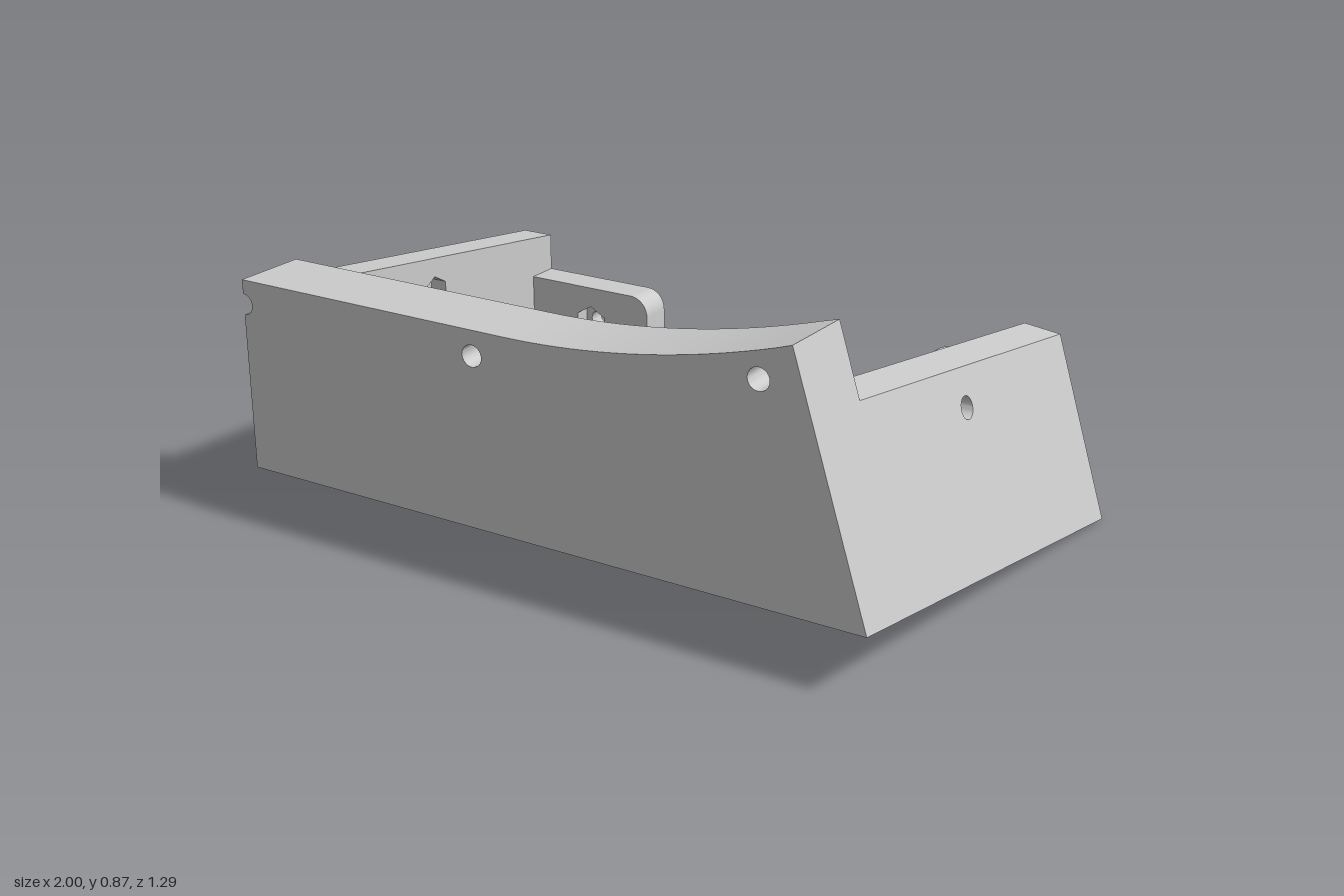
import * as THREE from 'three';
import { toCreasedNormals } from 'three/addons/utils/BufferGeometryUtils.js';

const FRONT = 0.645, BACK = -0.645, INNER = 0.43;
// sloping underside, sloping tray floor and leaning right-hand outer face
const baseY = z => 0.1395 * (z - BACK);
const floorY = z => 0.22 + 0.1395 * (z - BACK);
const sideX = (y, z) => 1 - 0.31 * y - 0.0344 * (z - BACK);

const material = new THREE.MeshStandardMaterial({ color: 0xcccccc });

// points on an arc, as [x, y]
function arc(cx, cy, r, a0, a1, n) {
  return Array.from({ length: n + 1 }, (_, i) => {
    const a = a0 + (a1 - a0) * i / n;
    return [cx + r * Math.cos(a), cy + r * Math.sin(a)];
  });
}

// extrude an outline with holes [x, y, radius, sides] and bend it with map(u, v, t)
function slab(name, outline, holes, map) {
  const shape = new THREE.Shape(outline.map(p => new THREE.Vector2(...p)));
  for (const [x, y, r, n] of holes) {
    const ring = arc(x, y, r, Math.PI / 6, Math.PI / 6 + Math.PI * 2, n).slice(0, n);
    shape.holes.push(new THREE.Path(ring.map(p => new THREE.Vector2(...p))));
  }
  const geo = new THREE.ExtrudeGeometry(shape, { depth: 1, bevelEnabled: false });
  const pos = geo.attributes.position;
  for (let i = 0; i < pos.count; i++) {
    pos.setXYZ(i, ...map(pos.getX(i), pos.getY(i), pos.getZ(i)));
  }
  const mesh = new THREE.Mesh(toCreasedNormals(geo, 0.5), material);
  mesh.name = name;
  return mesh;
}

// two layers: a round bore in one, a wider nut or head pocket in the other
function layered(name, build) {
  const group = new THREE.Group();
  group.name = name;
  group.add(build(0), build(1));
  return group;
}

const BORE = 0.03, POCKET = 0.057;
const hole = (x, y, pocket, sides = 6) => pocket ? [x, y, POCKET, sides] : [x, y, BORE, 24];

export function createModel() {
  const model = new THREE.Group();

  // front wall with curved top; nut pockets open to the inside
  model.add(layered('frontWall', layer => {
    const pocket = layer === 0;
    const z0 = pocket ? INNER : 0.54, z1 = pocket ? 0.54 : FRONT;
    const top = Array.from({ length: 21 }, (_, i) => {
      const s = 1 - i / 20;
      return [-0.13 + 0.82 * s, 0.73 + 0.135 * s * s];
    });
    const r = pocket ? POCKET : BORE;
    const halfHole = arc(-1, 0.66, r, Math.PI / 2, -Math.PI / 2, pocket ? 3 : 12);
    const outline = [[-1, 0], [0.9, 0], ...top, [-1, 0.73], ...halfHole];
    const holes = [hole(-0.23, 0.66, pocket), hole(0.6, 0.765, pocket)];
    return slab('frontWallLayer', outline, holes, (u, v, t) => {
      const z = z0 + t * (z1 - z0);
      const y = v < 0.1 ? baseY(z) : v;
      return [u > 0.68 ? sideX(y, z) : u, y, z];
    });
  }));

  // upright left wall, with a nut slot at the front outer corner
  model.add(layered('leftWall', layer => {
    const x0 = layer ? -0.955 : -1, x1 = layer ? -0.9 : -0.955;
    const rim = layer ? [[-INNER, 0.685]] : [[-0.375, 0.677], [-0.375, 0.6], [-INNER, 0.6]];
    const outline = [[-INNER, baseY(INNER)], [-BACK, 0], [-BACK, 0.538], ...rim];
    return slab('leftWallLayer', outline, [hole(0.05, 0.505, layer === 1)],
      (u, v, t) => [x0 + t * (x1 - x0), v, -u]);
  }));
  const lid = new THREE.Mesh(new THREE.BoxGeometry(0.045, 0.018, 0.055), material);
  lid.position.set(-0.9775, 0.676, 0.4025);
  lid.name = 'nutSlotLid';
  model.add(lid);

  // leaning right wall, rim tipped slightly outward
  model.add(layered('rightWall', layer => {
    const outline = [[-INNER, baseY(INNER)], [-BACK, 0], [-BACK, 0.54], [-INNER, 0.685]];
    return slab('rightWallLayer', outline, [hole(0.05, 0.505, layer === 0, 24)], (u, v, t) => {
      const s = (layer + t) / 2, z = -u;
      const atRim = v > 0.53 && (u < -0.4 || u > 0.6);
      const y = atRim ? v - 0.013 * s : v;
      return [sideX(y, z) - 0.103 * (1 - s), y, z];
    });
  }));

  // thick floor with a tapering cable groove in the back edge
  const groove = arc(0.19, -BACK, 0.035, 0, -Math.PI, 12);
  const plan = [[-0.9, -INNER], [0.9, -INNER], [0.9, -BACK], ...groove, [-0.9, -BACK]];
  model.add(slab('floor', plan, [], (u, v, t) => {
    const inGroove = Math.abs(u - 0.19) < 0.05;
    const z = inGroove && t > 0.5 ? BACK : -v;
    const y = t > 0.5 ? floorY(z) : baseY(z);
    let x = u;
    if (u > 0.8) x = sideX(y, z) - 0.103;
    else if (inGroove && t > 0.5) x = 0.19 + (u - 0.19) * 0.3;
    return [x, y, z];
  }));

  // back tabs with one rounded corner, nut pockets facing inward
  for (const [name, inner, outer, holeX] of [
    ['leftBackTab', 0.445, 0.8, 0.657],
    ['rightBackTab', -0.47, -0.9, -0.68],
  ]) {
    const dir = Math.sign(outer - inner), r = 0.06;
    const corner = arc(0, 0, r, Math.PI / 2, Math.PI, 8)
      .map(([x, y]) => [inner + dir * (r + x), 0.425 - r + y]);
    model.add(layered(name, layer => {
      const outline = [[inner, 0.22], [outer, 0.22], [outer, 0.425], ...corner];
      return slab('tabLayer', outline, [hole(holeX, 0.306, layer === 1)], (u, v, t) => {
        const z = BACK + 0.05 * (layer + t);
        return [u > 0.74 ? sideX(v, z) - 0.103 : u, v, z];
      });
    }));
  }
  return model;
}
